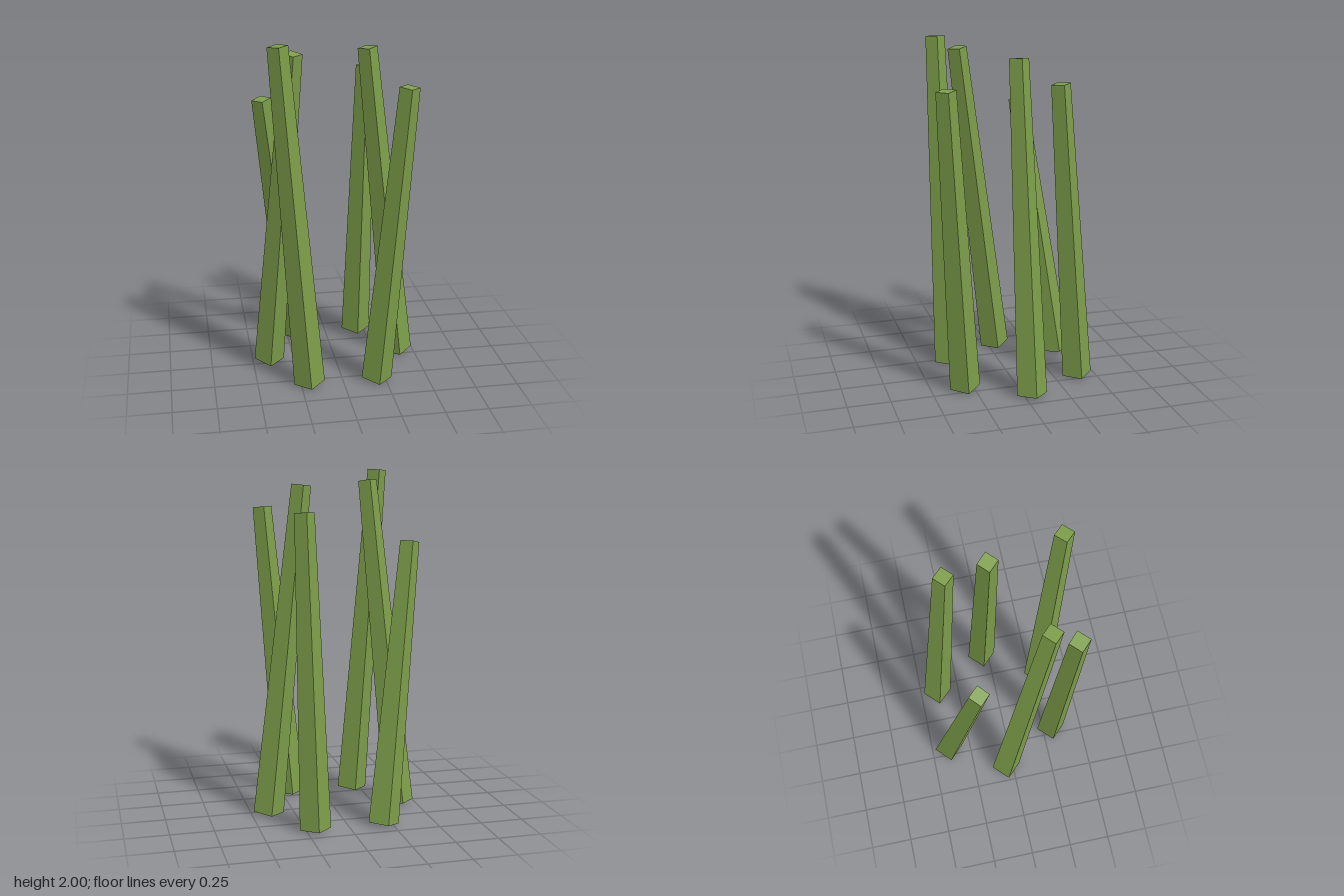
import * as THREE from 'three';

// One square, tapered stalk leaning from its foot to its tip
function makeStalk(foot, tip, material) {
  const axis = tip.clone().sub(foot);
  const geometry = new THREE.CylinderGeometry(0.057, 0.09, axis.length(), 4);
  const stalk = new THREE.Mesh(geometry, material);
  stalk.position.copy(foot).add(tip).multiplyScalar(0.5);
  stalk.quaternion.setFromUnitVectors(new THREE.Vector3(0, 1, 0), axis.normalize());
  return stalk;
}

export function createModel() {
  const group = new THREE.Group();
  group.name = 'stalks';
  const green = new THREE.MeshStandardMaterial({ color: 0x7d9e4a, flatShading: true });

  // name, foot x and z, tip x, y and z
  const stalks = [
    ['backRightStalk', -0.2, -0.39, -0.4, 1.6, -0.195],
    ['backLeftStalk', 0.2, -0.39, 0.225, 1.77, -0.255],
    ['middleLeftStalk', 0.4, -0.044, 0.19, 1.915, -0.023],
    ['middleRightStalk', -0.4, -0.044, -0.267, 1.933, 0.213],
    ['frontRightStalk', -0.2, 0.303, -0.357, 1.995, 0.322],
    ['frontLeftStalk', 0.2, 0.303, 0.333, 1.775, 0.422],
  ];
  for (const [name, fx, fz, tx, ty, tz] of stalks) {
    const stalk = makeStalk(new THREE.Vector3(fx, 0.014, fz), new THREE.Vector3(tx, ty, tz), green);
    stalk.name = name;
    group.add(stalk);
  }
  return group;
}
